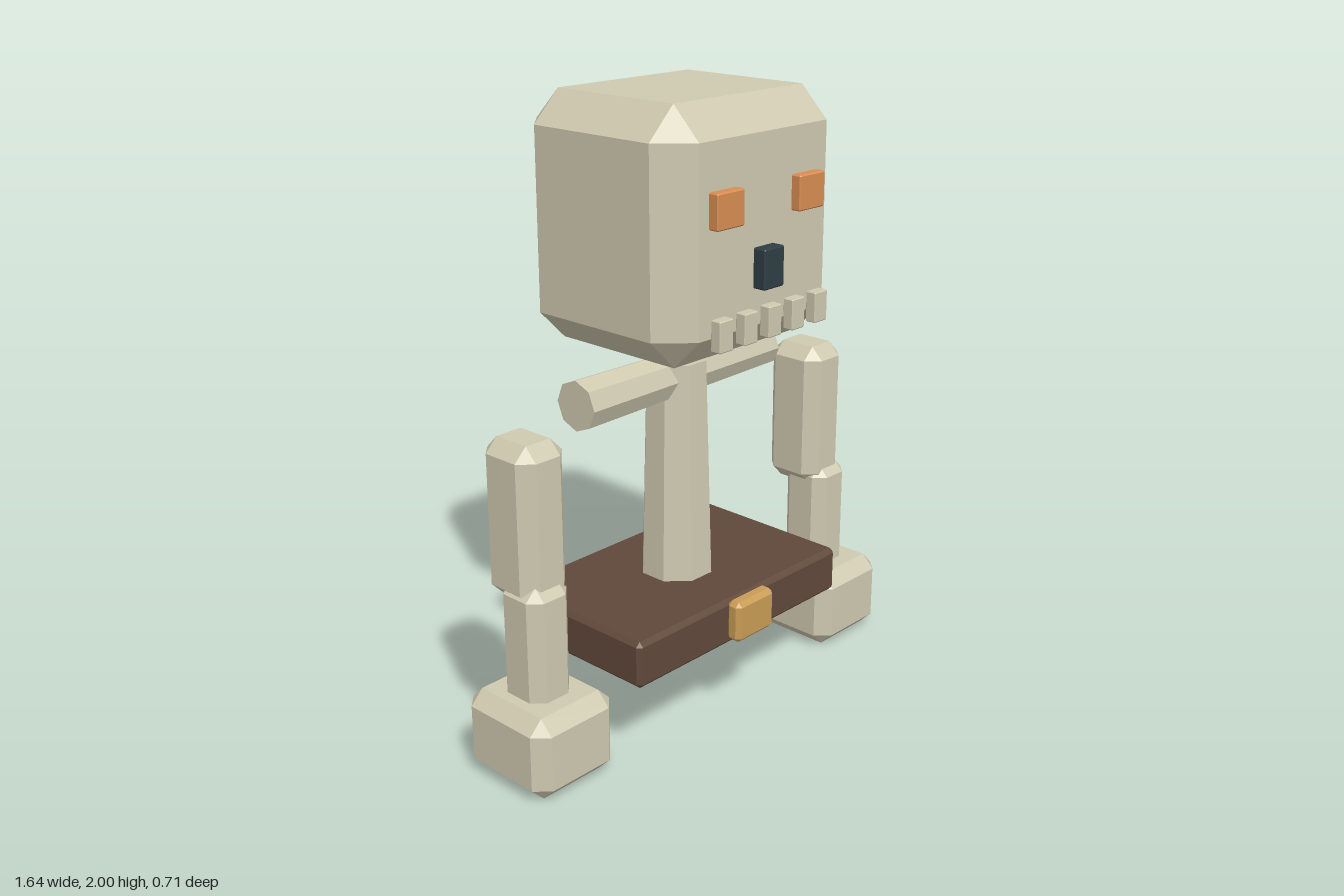
import * as THREE from 'three';
import { ConvexGeometry } from 'three/addons/geometries/ConvexGeometry.js';

const material = (name, color, flat = true) => {
  const m = new THREE.MeshStandardMaterial({ color, flatShading: flat });
  m.name = name;
  return m;
};

// Box with chamfered edges and corners, given by its minimum and maximum
function chamferBox(min, max, bevel) {
  const half = max.map((v, i) => (v - min[i]) / 2);
  const mid = max.map((v, i) => (v + min[i]) / 2);
  const points = [];
  for (const sx of [-1, 1]) for (const sy of [-1, 1]) for (const sz of [-1, 1]) {
    const sign = [sx, sy, sz];
    for (let axis = 0; axis < 3; axis++) {
      points.push(new THREE.Vector3(
        ...sign.map((s, i) => s * (half[i] - (i === axis ? 0 : bevel)))));
    }
  }
  return new ConvexGeometry(points).translate(...mid);
}

export function createModel() {
  const group = new THREE.Group();
  group.name = 'skeleton';

  const bone = material('bone', 0xcfc9b0);
  const leather = material('brown leather', 0x60483a);
  const brass = material('brass', 0xc99c55);
  const orange = material('orange', 0xd98d53);
  const dark = material('dark slate', 0x2e3d45);

  const add = (name, geometry, mat, parent = group) => {
    const mesh = new THREE.Mesh(geometry, mat);
    mesh.name = name;
    parent.add(mesh);
    return mesh;
  };

  // Skull and face
  add('skull', chamferBox([-0.375, 1.24, -0.355], [0.375, 2, 0.305], 0.097), bone);
  add('nose', chamferBox([-0.044, 1.45, 0.28], [0.044, 1.572, 0.348], 0.004), dark);
  for (let i = -2; i <= 2; i++) {
    const x = i * 0.107;
    add('tooth', chamferBox([x - 0.029, 1.305, 0.318], [x + 0.029, 1.4, 0.355], 0.003), bone);
  }

  // Spine and collarbone
  const spine = add('spine', new THREE.CylinderGeometry(0.1, 0.123, 0.805, 8).rotateY(Math.PI / 8), bone);
  spine.position.set(-0.002, 0.7525, -0.045);
  const collar = add('collarbone', new THREE.CylinderGeometry(0.08, 0.068, 0.856, 8).rotateZ(Math.PI / 2), bone);
  collar.position.set(-0.002, 1.1, -0.05);

  // Belt and buckle
  add('belt', chamferBox([-0.472, 0.275, -0.335], [0.472, 0.43, 0.248], 0.015), leather);
  add('buckle', chamferBox([-0.088, 0.3, 0.248], [0.086, 0.438, 0.304], 0.015), brass);

  // Mirrored eyes and arms
  for (const side of [-1, 1]) {
    const label = side > 0 ? 'left' : 'right';
    const span = (a, b, low, high, bevel) => {
      const [x0, x1] = side > 0 ? [a, b] : [-b, -a];
      return chamferBox([x0, low[0], low[1]], [x1, high[0], high[1]], bevel);
    };
    add(label + 'Eye', span(0.122, 0.237, [1.655, 0.28], [1.762, 0.338], 0.004), orange);

    const arm = new THREE.Group();
    arm.name = label + 'Arm';
    group.add(arm);
    add('upperArm', span(0.557, 0.735, [0.565, -0.147], [1.065, 0.065], 0.043), bone, arm);
    add('forearm', span(0.58, 0.74, [0.22, -0.085], [0.635, 0.09], 0.038), bone, arm);
    add('fist', span(0.5, 0.82, [0, -0.167], [0.27, 0.187], 0.045), bone, arm);
  }

  return group;
}
